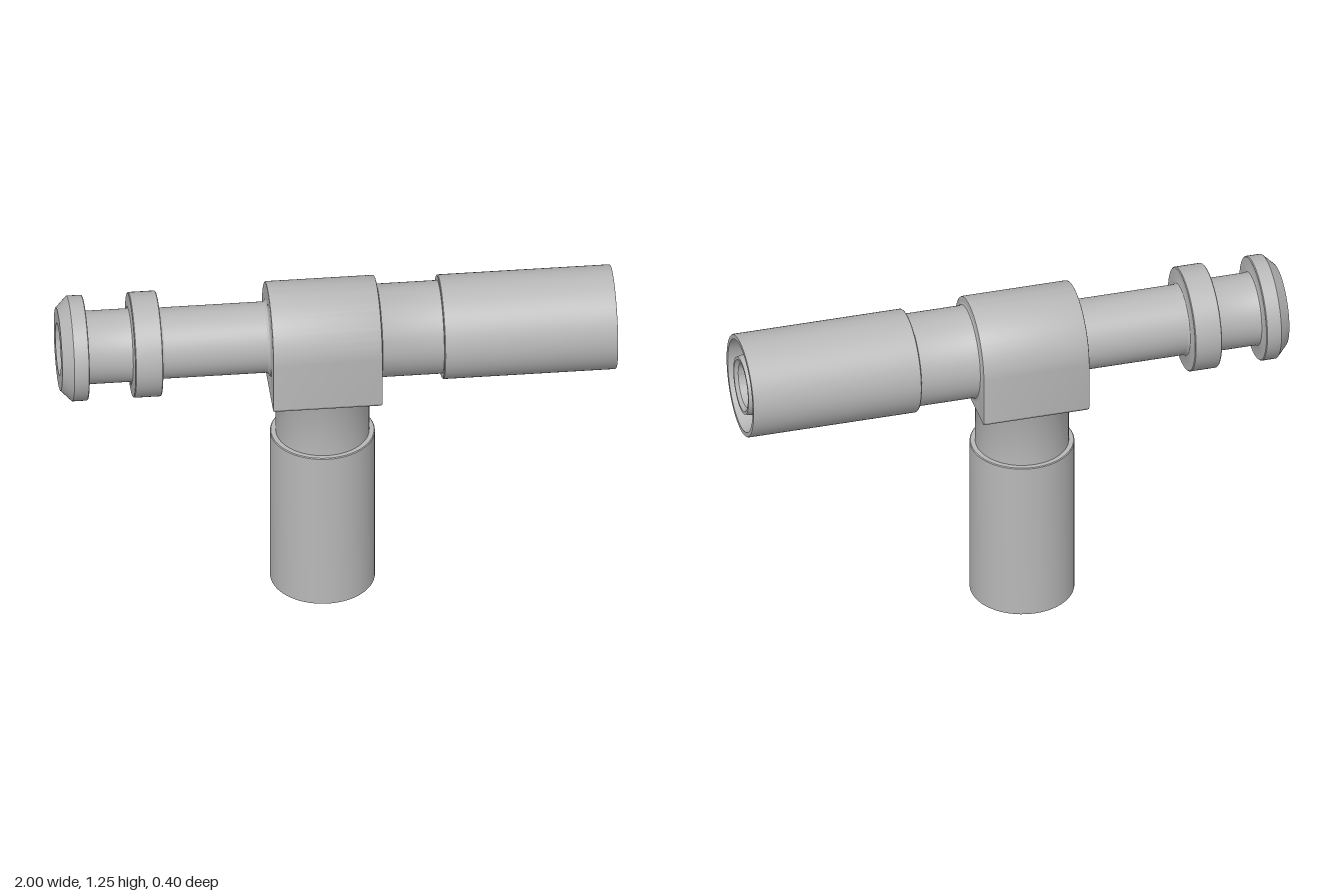
import * as THREE from 'three';
import { toCreasedNormals } from 'three/addons/utils/BufferGeometryUtils.js';

const AXIS_Y = 1.045; // height of the horizontal run
const STEM_X = -0.047; // centre of the vertical branch
const BORE = 0.082;

export function createModel() {
  const group = new THREE.Group();
  const metal = new THREE.MeshStandardMaterial({ color: 0xb8b8b8 });
  metal.name = 'grey metal';

  const add = (name, geometry) => {
    const mesh = new THREE.Mesh(toCreasedNormals(geometry, 0.5), metal);
    mesh.name = name;
    group.add(mesh);
    return mesh;
  };

  // Hollow turned part; profile is [radius, distance along its axis]
  const turned = (name, profile) =>
    add(name, new THREE.LatheGeometry(profile.map(([r, t]) => new THREE.Vector2(r, t)), 64));

  // Hose end: neck, crimped sleeve, annular recess and inner nipple
  const hoseEnd = (start, face, step, end) => [
    [0.18, face - 0.02], [0.18, face], [0.171, face + 0.004], [0.168, face + 0.01],
    [0.168, step], [0.185, step], [0.188, step + 0.003],
    [0.188, end - 0.003], [0.186, end], [0.17, end],
    [0.16, end - 0.3], [0.117, end - 0.3],
    [0.115, end - 0.05], [0.105, end - 0.003], [0.095, end - 0.003],
    [BORE, end - 0.015], [BORE, start],
  ];

  // Central block: arched top, square bottom, through bore
  const arch = new THREE.Shape();
  const b = 0.006, r = 0.2 - b, bottom = 0.85 + b - AXIS_Y;
  arch.moveTo(-r + 0.004, bottom);
  arch.lineTo(r - 0.004, bottom);
  arch.lineTo(r, bottom + 0.006);
  arch.lineTo(r, 0);
  arch.absarc(0, 0, r, 0, Math.PI, false);
  arch.lineTo(-r, bottom + 0.006);
  arch.closePath();
  const hole = new THREE.Path();
  hole.absarc(0, 0, BORE + b, 0, Math.PI * 2, true);
  arch.holes.push(hole);
  const block = new THREE.ExtrudeGeometry(arch, {
    depth: 0.395 - 2 * b, bevelEnabled: true, bevelSize: b, bevelThickness: b,
    bevelSegments: 2, curveSegments: 32,
  });
  block.rotateY(Math.PI / 2);
  block.translate(-0.245 + b, AXIS_Y, 0);
  add('centralBlock', block);

  // Left-hand sleeve, pointing along +x
  const sleeve = turned('sideHoseEnd', hoseEnd(STEM_X, 0.15, 0.375, 1));
  sleeve.rotation.z = -Math.PI / 2;
  sleeve.position.y = AXIS_Y;

  // Branch sleeve, pointing down
  const branch = turned('lowerHoseEnd', hoseEnd(0.1, AXIS_Y - 0.85, AXIS_Y - 0.63, AXIS_Y));
  branch.rotation.z = Math.PI;
  branch.position.set(STEM_X, AXIS_Y, 0);

  // Plug-in spigot with collar and chamfered end flange, pointing along -x
  const spigot = turned('spigot', [
    [0.14, 0.23], [0.14, 0.245], [0.132, 0.249], [0.128, 0.256],
    [0.128, 0.63], [0.132, 0.637], [0.138, 0.64],
    [0.187, 0.64], [0.19, 0.643], [0.19, 0.737], [0.187, 0.74],
    [0.14, 0.74], [0.134, 0.743], [0.132, 0.75],
    [0.132, 0.895], [0.134, 0.902], [0.14, 0.905],
    [0.187, 0.905], [0.19, 0.908], [0.19, 0.96], [0.15, 1],
    [0.095, 1], [BORE, 0.985], [BORE, -STEM_X],
  ]);
  spigot.rotation.z = Math.PI / 2;
  spigot.position.y = AXIS_Y;

  return group;
}
